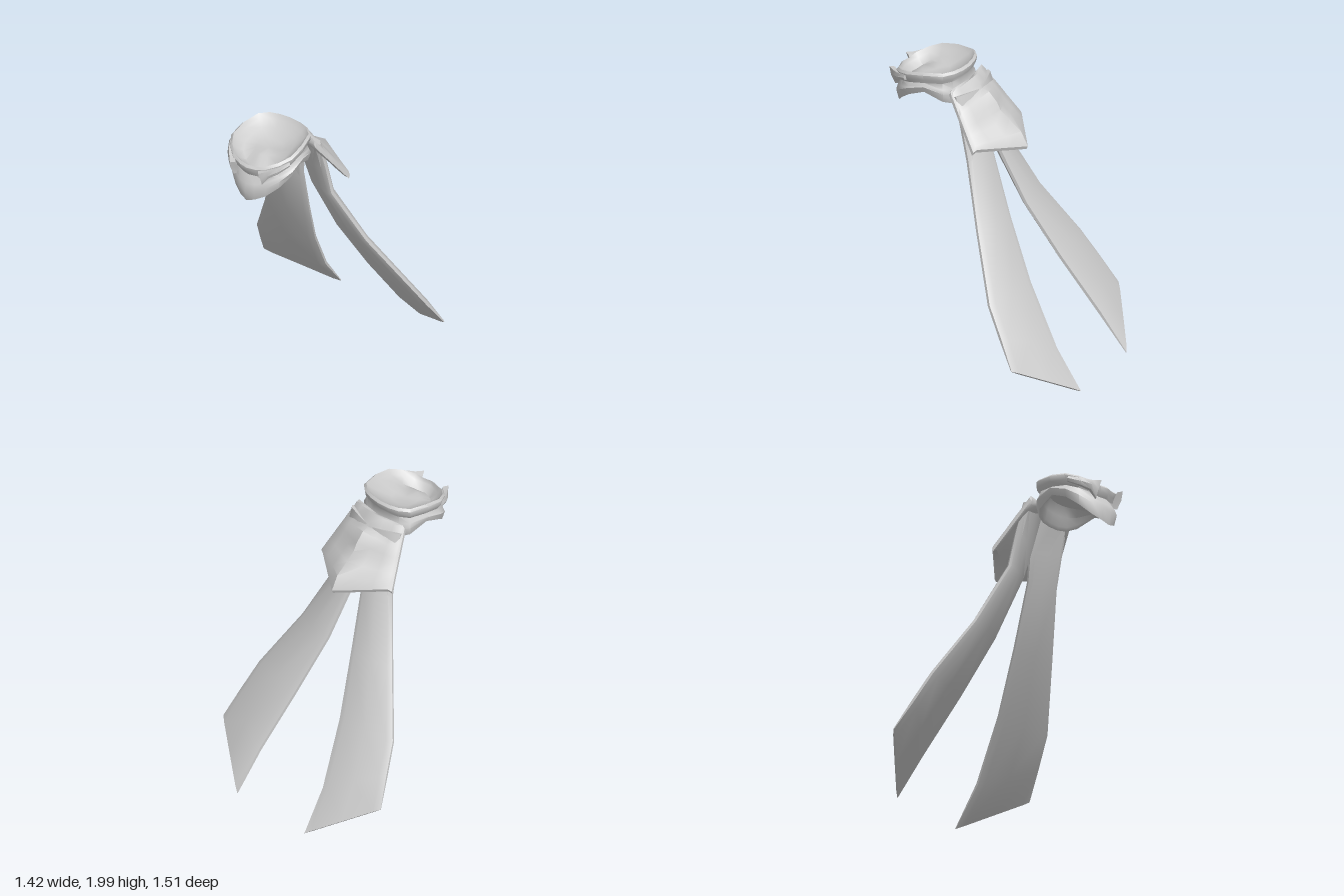
import * as THREE from 'three';
import { toCreasedNormals } from 'three/addons/utils/BufferGeometryUtils.js';

const lerp = THREE.MathUtils.lerp;
const V = (x, y, z) => new THREE.Vector3(x, y, z);

// Solid through closed loops of points; ends are closed with strips across each loop.
function loft(loops, name, crease = 0.7) {
  const n = loops[0].length;
  const tris = [];
  const quad = (a, b, c, d) => tris.push([a, b, c], [a, c, d]);
  for (let r = 0; r < loops.length - 1; r++) {
    for (let i = 0; i < n; i++) {
      const j = (i + 1) % n;
      quad(loops[r][i], loops[r][j], loops[r + 1][j], loops[r + 1][i]);
    }
  }
  const first = loops[0], last = loops[loops.length - 1];
  for (let i = 0; i < n / 2 - 1; i++) {
    quad(first[i], first[n - 1 - i], first[n - 2 - i], first[i + 1]);
    quad(last[i], last[i + 1], last[n - 2 - i], last[n - 1 - i]);
  }
  // Drop empty triangles and turn the faces outward
  const solid = tris.filter(([a, b, c]) =>
    b.clone().sub(a).cross(c.clone().sub(a)).length() > 1e-7);
  const mid = V(0, 0, 0);
  first.forEach((p) => mid.addScaledVector(p, 1 / n));
  const volume = solid.reduce((s, [a, b, c]) => s + a.clone().sub(mid)
    .dot(b.clone().sub(mid).cross(c.clone().sub(mid))), 0);
  const pos = [];
  for (const [a, b, c] of solid) {
    for (const p of volume < 0 ? [a, c, b] : [a, b, c]) pos.push(p.x, p.y, p.z);
  }
  const geo = new THREE.BufferGeometry();
  geo.setAttribute('position', new THREE.Float32BufferAttribute(pos, 3));
  const mesh = new THREE.Mesh(toCreasedNormals(geo, crease),
    new THREE.MeshStandardMaterial({ color: 0xcccccc, side: THREE.DoubleSide }));
  mesh.name = name;
  return mesh;
}

// Neck collar: one profile swept around an uneven outline, front to back
function collar() {
  // x, z, top height, bottom height
  const half = [
    [0, 0.75, 1.90, 1.63], [0.06, 0.735, 1.90, 1.65], [0.125, 0.70, 1.915, 1.68],
    [0.195, 0.64, 1.94, 1.74], [0.24, 0.56, 1.965, 1.80], [0.24, 0.44, 1.985, 1.845],
    [0.21, 0.31, 1.995, 1.79], [0.15, 0.26, 2.0, 1.765], [0.08, 0.238, 2.0, 1.755],
    [0, 0.23, 2.0, 1.755],
  ];
  const outline = [...half, ...half.slice(1, -1).reverse().map(([x, ...r]) => [-x, ...r])];
  // Scale from the centre and height, floor to rim to outside to hollow underside
  const profile = [
    [0, () => 1.90], [0.35, () => 1.90], [0.64, (t) => t - 0.06], [0.84, (t) => t - 0.03],
    [0.94, (t) => t], [1, (t) => t - 0.015], [0.98, (t) => t - 0.05],
    [0.9, (t) => t - 0.08], [0.95, (t, b) => lerp(t - 0.08, b, 0.3)],
    [1, (t, b) => lerp(t, b, 0.7)], [0.93, (t, b) => b], [0.86, (t, b) => b + 0.02],
    [0.8, (t, b) => lerp(t - 0.1, b, 0.4)], [0.66, (t) => t - 0.1], [0, () => 1.86],
  ];
  const loops = profile.map(([s, y], k) => outline.map(([x, z, t, b]) => {
    const pull = k > 3 && k < 8 && z > 0.72 ? 0.93 : 1;
    return V(x * s, y(t, b), 0.48 + (z - 0.48) * s * pull);
  }));
  return loft(loops, 'collar', 0.9);
}

// Folded pleat hanging from the front of the collar rim
function pleat(side) {
  // x, top y, top z, bottom y, bottom z
  const rows = [
    [0.232, 1.935, 0.58, 1.90, 0.58], [0.19, 1.915, 0.66, 1.865, 0.655],
    [0.145, 1.90, 0.715, 1.84, 0.70], [0.11, 1.90, 0.76, 1.785, 0.715],
  ];
  return loft(rows.map(([x, ty, tz, by, bz]) => [
    V(side * x, ty, tz), V(side * (x + 0.008), (ty + by) / 2, (tz + bz) / 2 + 0.004),
    V(side * x, by, bz), V(side * (x - 0.02), by + 0.005, bz - 0.03),
    V(side * (x - 0.025), (ty + by) / 2, (tz + bz) / 2 - 0.035),
    V(side * (x - 0.02), ty - 0.005, tz - 0.03),
  ]), side > 0 ? 'leftPleat' : 'rightPleat');
}

// Five-sided back flap with soft folds across its middle
function backFlap() {
  // centre z, centre y, share of the side edge
  const rows = [
    [0.225, 1.90, 0], [0.20, 1.915, 0.06], [0.155, 1.875, 0.18], [0.14, 1.845, 0.28],
    [0.09, 1.835, 0.4], [0.03, 1.77, 0.53], [0.005, 1.72, 0.64], [-0.06, 1.67, 0.78],
    [-0.145, 1.605, 0.95], [-0.195, 1.51, 1],
  ];
  const columns = [-1, -0.93, -0.66, -0.33, 0, 0.33, 0.66, 0.93, 1];
  const loops = rows.map(([cz, cy, t], r) => {
    const end = r === 0 || r === rows.length - 1;
    const top = columns.map((u) => {
      const a = Math.abs(u);
      const drop = a === 1 ? 0.02 : 0;
      return V(u * lerp(0.212, 0.317, t), lerp(cy, lerp(1.90, 1.57, t), a) - drop,
        lerp(cz, lerp(0.255, 0.03, t), a));
    });
    const under = top.map((p, i) => {
      const d = i === 0 || i === columns.length - 1 || end ? 0.022 : 0.045;
      return V(p.x, p.y - d, p.z + d * 0.45);
    }).reverse();
    return [...top, ...under];
  });
  return loft(loops, 'backFlap', 0.75);
}

// Long tail: flat band with bevelled edges, widening to a slanted end
function tail(side) {
  // inner edge x, y, z, then outer edge x, y, z
  const rows = [
    [0.0, 1.84, 0.17, 0.215, 1.86, 0.22], [0.0, 1.62, 0.09, 0.23, 1.65, 0.165],
    [0.035, 1.43, 0.045, 0.24, 1.43, 0.115], [0.105, 1.03, -0.12, 0.40, 1.03, -0.045],
    [0.20, 0.65, -0.32, 0.60, 0.64, -0.24], [0.285, 0.27, -0.56, 0.655, 0.45, -0.355],
    [0.302, 0.015, -0.75, 0.708, 0.27, -0.465],
  ];
  const loops = rows.map(([ix, iy, iz, ox, oy, oz], r) => {
    const a = V(side * ix, iy, iz), b = V(side * ox, oy, oz);
    const next = rows[Math.min(r + 1, rows.length - 1)], prev = rows[Math.max(r - 1, 0)];
    const along = V(side * (next[0] + next[3] - prev[0] - prev[3]),
      next[1] + next[4] - prev[1] - prev[4], next[2] + next[5] - prev[2] - prev[5]);
    const out = b.clone().sub(a).cross(along).normalize().multiplyScalar(side);
    const thick = r === rows.length - 1 ? 0.008 : 0.027;
    const at = (u, d) => a.clone().lerp(b, u).addScaledVector(out, d * thick);
    return [at(0, 0.35), at(0.1, 1), at(0.5, 1.1), at(0.9, 1), at(1, 0.35),
      at(1, -0.35), at(0.9, -1), at(0.5, -0.9), at(0.1, -1), at(0, -0.35)];
  });
  return loft(loops, side > 0 ? 'leftTail' : 'rightTail', 0.75);
}

export function createModel() {
  const group = new THREE.Group();
  group.name = 'scarf';
  group.add(collar(), backFlap());
  for (const side of [1, -1]) group.add(pleat(side), tail(side));
  return group;
}
